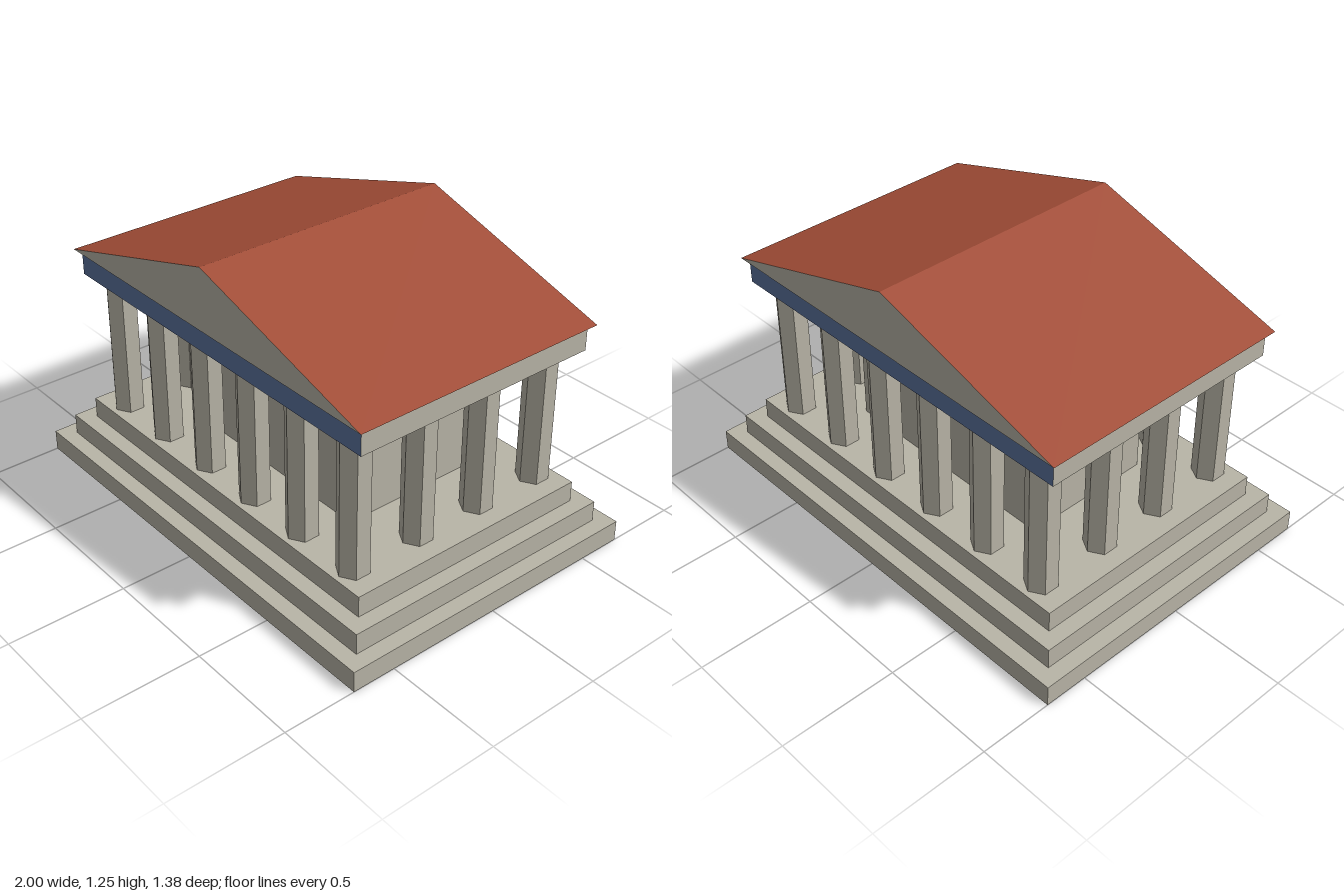
import * as THREE from 'three';

function material(name, color) {
  const m = new THREE.MeshStandardMaterial({ color });
  m.name = name;
  return m;
}

export function createModel() {
  const temple = new THREE.Group();
  temple.name = 'temple';
  const stone = material('stone', 0xb9b5a7);
  const tile = material('roofTile', 0xa24d37);
  const blue = material('friezeBlue', 0x5c739f);

  function add(name, geometry, mat, x = 0, y = 0, z = 0) {
    const mesh = new THREE.Mesh(geometry, mat);
    mesh.name = name;
    mesh.position.set(x, y, z);
    temple.add(mesh);
    return mesh;
  }

  // Three stepped platform slabs
  const stepH = 0.09;
  for (let i = 0; i < 3; i++) {
    add(`step${i + 1}`, new THREE.BoxGeometry(2 - i * 0.135, stepH, 1.38 - i * 0.135), stone, 0, stepH * (i + 0.5), 0);
  }

  // Inner chamber
  const floorY = 0.27, columnH = 0.6, midY = floorY + columnH / 2;
  add('chamber', new THREE.BoxGeometry(1.02, columnH, 0.58), stone, 0, midY, 0);

  // Ring of hexagonal columns, six across and four deep
  const columnGeo = new THREE.CylinderGeometry(0.067, 0.067, columnH, 6).toNonIndexed();
  columnGeo.computeVertexNormals();
  const nx = 6, nz = 4, halfX = 0.73, halfZ = 0.467;
  for (let i = 0; i < nx; i++) {
    for (let j = 0; j < nz; j++) {
      if (i > 0 && i < nx - 1 && j > 0 && j < nz - 1) continue;
      const x = -halfX + (2 * halfX * i) / (nx - 1);
      const z = -halfZ + (2 * halfZ * j) / (nz - 1);
      add('column', columnGeo, stone, x, midY, z);
    }
  }

  // Beam with blue front and back faces
  add('beam', new THREE.BoxGeometry(1.73, 0.11, 1.11), [stone, stone, stone, stone, blue, blue], 0, 0.925, 0);

  // Gabled roof: stone gable ends, tiled slopes and underside
  const gable = new THREE.Shape([
    new THREE.Vector2(-0.89, 0),
    new THREE.Vector2(0.89, 0),
    new THREE.Vector2(0, 0.267),
  ]);
  const roofGeo = new THREE.ExtrudeGeometry(gable, { depth: 1.156, bevelEnabled: false });
  add('roof', roofGeo, [stone, tile], 0, 0.98, -0.578);

  return temple;
}
